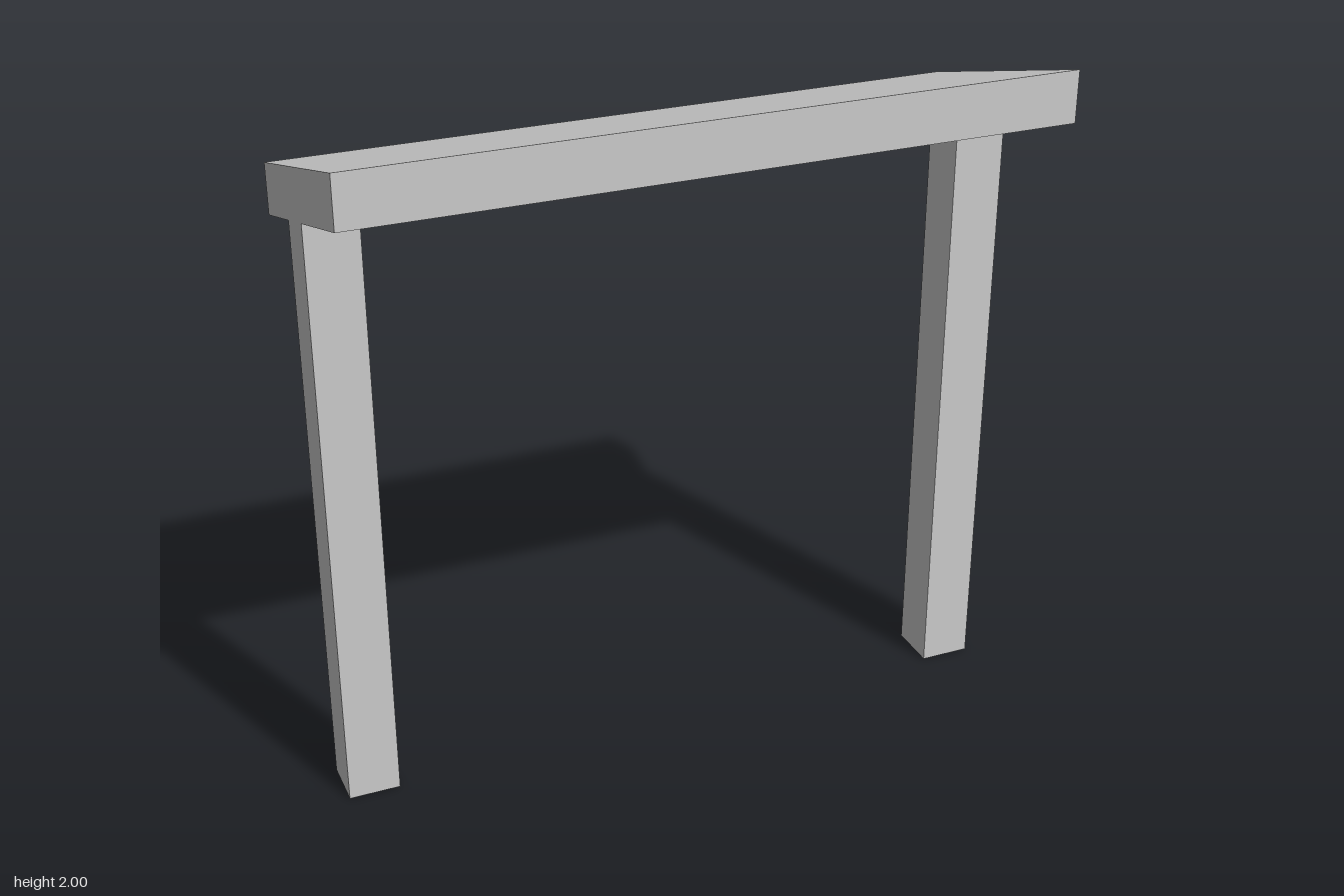
import * as THREE from 'three';

const material = new THREE.MeshStandardMaterial({ color: 0xcccccc, flatShading: true });

// Extrudes a side profile of [z, y] points along x, centred on the given x
function profileMesh(name, points, width, x) {
  const shape = new THREE.Shape(points.map(([z, y]) => new THREE.Vector2(z, y)));
  const geometry = new THREE.ExtrudeGeometry(shape, { depth: width, bevelEnabled: false });
  geometry.rotateY(-Math.PI / 2);
  geometry.translate(x + width / 2, 0, 0);
  const mesh = new THREE.Mesh(geometry, material);
  mesh.name = name;
  return mesh;
}

export function createModel() {
  const group = new THREE.Group();
  group.name = 'slopedBench';

  const halfDepth = 0.368, thickness = 0.147, slope = 0.22 / (2 * halfDepth);
  const topAt = (z) => 2 - slope * (halfDepth - z);
  const undersideAt = (z) => topAt(z) - thickness;

  // Sloping slab with vertical front and back edges
  group.add(profileMesh('slopedTop', [
    [-halfDepth, undersideAt(-halfDepth)],
    [halfDepth, undersideAt(halfDepth)],
    [halfDepth, topAt(halfDepth)],
    [-halfDepth, topAt(-halfDepth)],
  ], 2, 0));

  // Square legs, cut to the slope of the slab's underside
  const legWidth = 0.148, back = -0.128, front = 0.02;
  for (const [name, side] of [['leftLeg', 1], ['rightLeg', -1]]) {
    group.add(profileMesh(name, [
      [back, 0],
      [front, 0],
      [front, undersideAt(front)],
      [back, undersideAt(back)],
    ], legWidth, side * (1 - legWidth / 2)));
  }
  return group;
}
